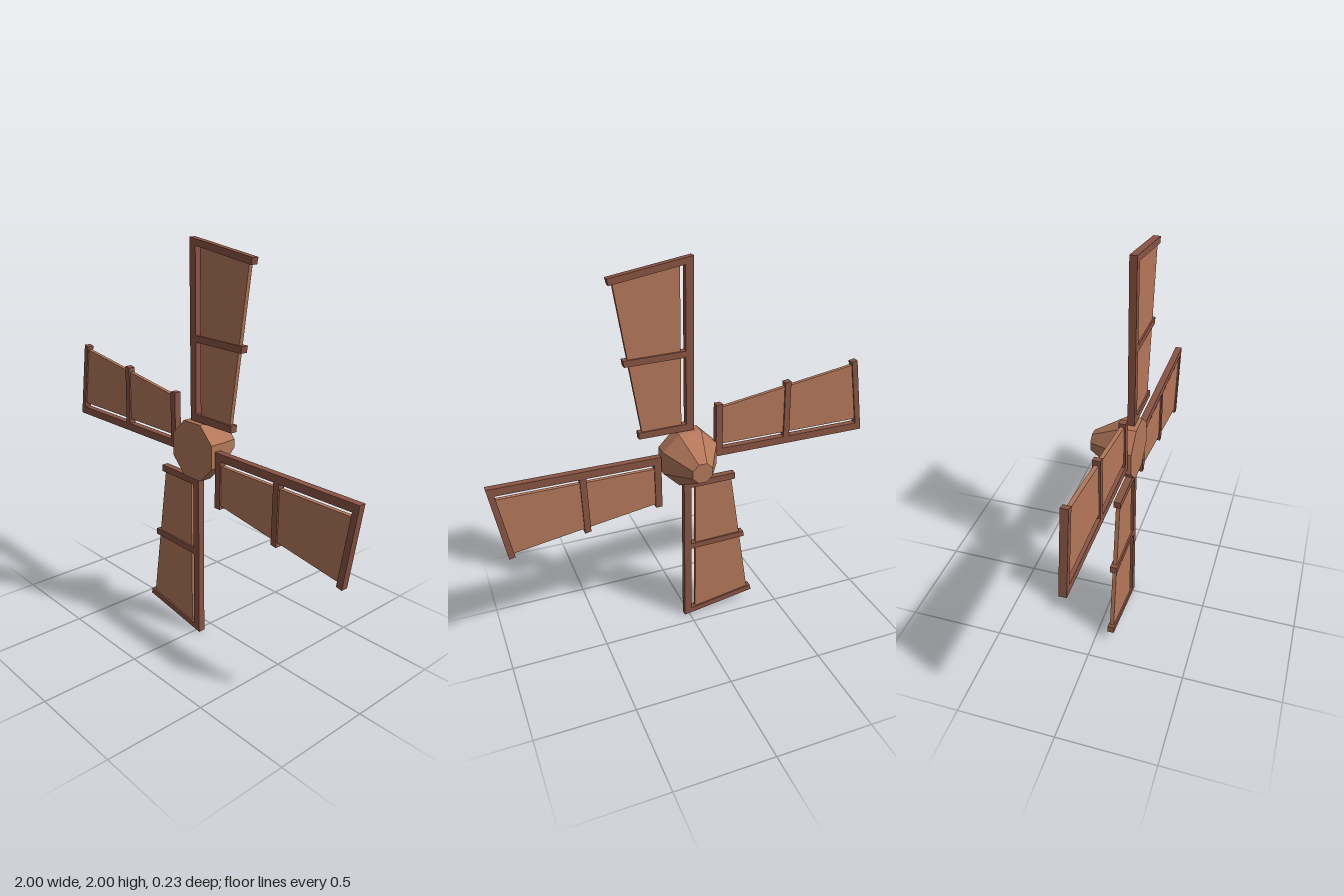
import * as THREE from 'three';

const wood = new THREE.MeshStandardMaterial({ color: 0x8a5444, flatShading: true });
const light = new THREE.MeshStandardMaterial({ color: 0xb5785a, flatShading: true });

// Flat plate from an outline in x,y, spanning z0 to z1
function plate(name, points, z0, z1, material) {
  const shape = new THREE.Shape(points.map(([x, y]) => new THREE.Vector2(x, y)));
  const geometry = new THREE.ExtrudeGeometry(shape, { depth: z1 - z0, bevelEnabled: false });
  geometry.translate(0, 0, z0);
  const mesh = new THREE.Mesh(geometry, material);
  mesh.name = name;
  return mesh;
}

// One blade pointing up, with the hub axis at the origin
function createBlade() {
  const blade = new THREE.Group();
  blade.add(
    plate('spar', [[-0.027, 0.147], [0.013, 0.147], [0.013, 0.963], [-0.027, 1]], 0.065, 0.1, wood),
    plate('tipBar', [[0.013, 0.963], [0.369, 0.905], [0.376, 0.936], [-0.027, 1]], 0.065, 0.1, wood),
    plate('middleBar', [[0.013, 0.529], [0.315, 0.523], [0.32, 0.555], [0.013, 0.561]], 0.064, 0.1, wood),
    plate('rootBar', [[0.013, 0.147], [0.257, 0.146], [0.257, 0.18], [0.013, 0.183]], 0.065, 0.1, wood),
    plate('sail', [[0.037, 0.165], [0.237, 0.165], [0.352, 0.92], [0.037, 0.97]], 0.072, 0.092, light)
  );
  return blade;
}

export function createModel() {
  const model = new THREE.Group();
  model.name = 'windmillSails';

  // Octagonal hub, tapering towards the back
  const profile = [[0, -0.117], [0.055, -0.117], [0.154, 0.048], [0.154, 0.117], [0, 0.117]]
    .map(([r, y]) => new THREE.Vector2(r, y));
  const hub = new THREE.Mesh(new THREE.LatheGeometry(profile, 8, Math.PI / 8), light);
  hub.name = 'hub';
  hub.rotation.x = Math.PI / 2;
  hub.position.y = 1;
  model.add(hub);

  // Four blades, a quarter turn apart
  for (let i = 0; i < 4; i++) {
    const blade = createBlade();
    blade.name = `blade${i + 1}`;
    blade.position.y = 1;
    blade.rotation.z = -i * Math.PI / 2;
    model.add(blade);
  }
  return model;
}
